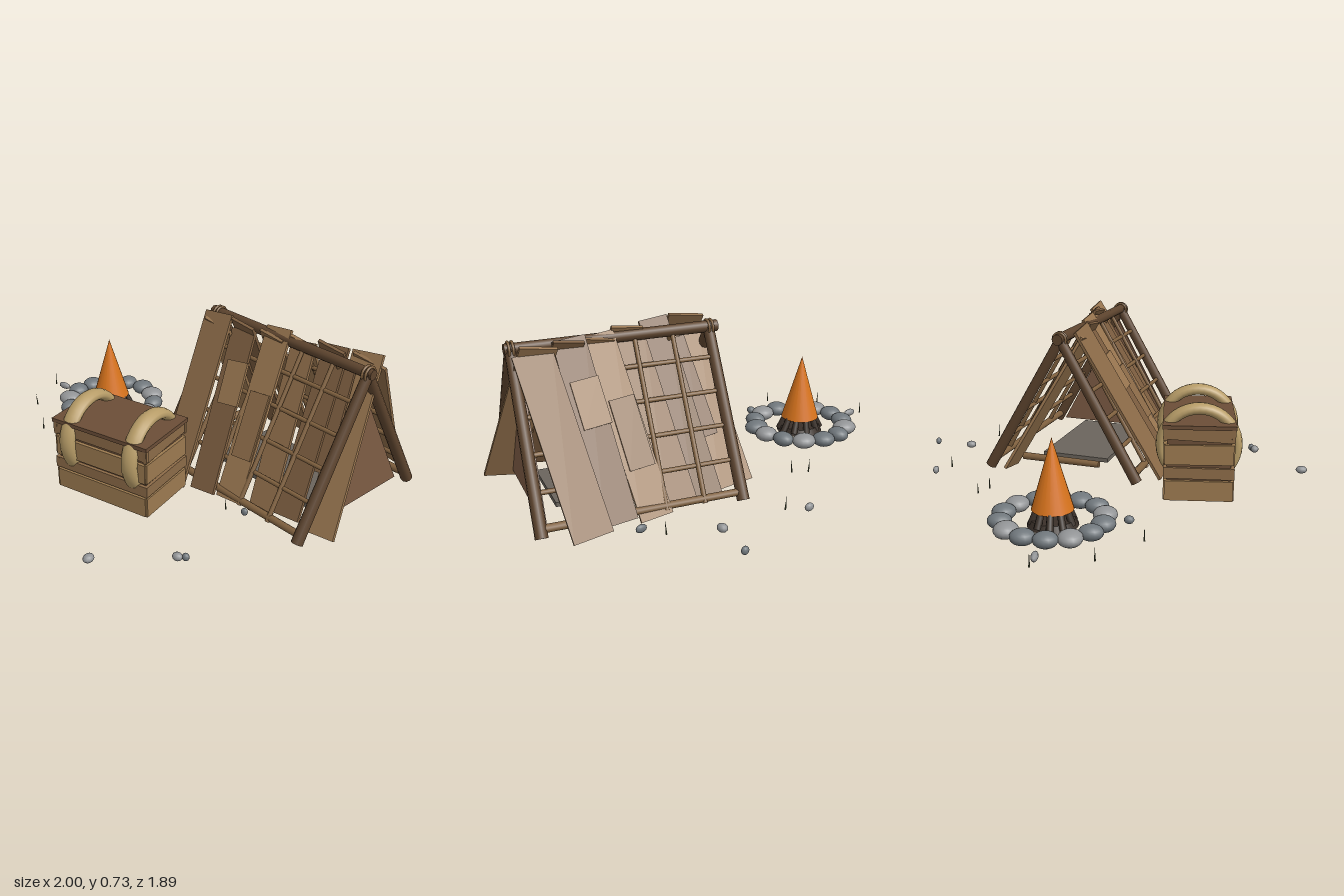
import * as THREE from 'three';

const mat = (color) => new THREE.MeshStandardMaterial({ color });
const M = {
  plankA: mat(0x8c6b48), plankB: mat(0x7c5d3f), plankC: mat(0x997650),
  pole: mat(0x5d442e), rod: mat(0x80613f), wall: mat(0x7d5c44), lid: mat(0x6b4e37),
  crate: mat(0x9c7a50), rope: mat(0xb89d68), flame: mat(0xd9741c), char: mat(0x3a3029),
  stoneA: mat(0x70777c), stoneB: mat(0x929496), bed: mat(0x6a645c), grass: mat(0x4c5238),
};
const planks = [M.plankA, M.plankB, M.plankC];
const TURN = -0.27; // heading of the shelter frame

function add(parent, name, geo, material, x = 0, y = 0, z = 0) {
  const m = new THREE.Mesh(geo, material);
  m.name = name;
  m.position.set(x, y, z);
  parent.add(m);
  return m;
}

const box = (w, h, d) => new THREE.BoxGeometry(w, h, d);

function group(parent, name, x = 0, y = 0, z = 0) {
  const g = new THREE.Group();
  g.name = name;
  g.position.set(x, y, z);
  parent.add(g);
  return g;
}

// Round pole between two points
function pole(parent, name, a, b, r, material) {
  const p = new THREE.Vector3(...a), q = new THREE.Vector3(...b);
  const d = q.clone().sub(p);
  const m = add(parent, name, new THREE.CylinderGeometry(r * 0.9, r, d.length(), 10), material);
  m.position.copy(p).add(q).multiplyScalar(0.5);
  m.quaternion.setFromUnitVectors(new THREE.Vector3(0, 1, 0), d.normalize());
  return m;
}

// Sloping frame from the ridge: local -y runs down the slope, +z points outward
function slope(parent, name, turn) {
  const side = group(parent, name);
  side.rotation.y = turn;
  const s = group(side, 'slope', 0, 0.67, 0);
  s.rotation.x = -Math.PI / 6;
  return s;
}

function roofFrame(parent, turn) {
  const s = slope(parent, 'roofFrame', turn);
  for (const x of [-0.433, 0.433]) pole(s, 'legPole', [x, -0.757, 0], [x, 0.02, 0], 0.027, M.pole);
  for (const y of [-0.13, -0.28, -0.43, -0.58, -0.72])
    pole(s, 'crossRod', [-0.44, y, 0], [0.44, y, 0], y < -0.7 ? 0.018 : 0.011, M.rod);
  for (const x of [-0.26, -0.09, 0.09, 0.26])
    pole(s, 'rafterRod', [x, -0.74, 0.005], [x, 0, 0.005], 0.011, M.rod);
}

// Cladding hangs square to the model, each plank twisted about its own length
function roofPlanks(parent, turn, seed) {
  const s = slope(parent, 'roofPlanks', turn);
  const wob = (i, k) => Math.sin(i * 2.7 + k * 1.9 + seed);
  [[-0.37, 0.165], [-0.215, 0.14], [-0.065, 0.14], [0.08, 0.13], [0.215, 0.13], [0.365, 0.155]]
    .forEach(([x, w], i) => {
      const top = 0.03 + 0.025 * wob(i, 1), bottom = -0.745 + 0.015 * wob(i, 2);
      const m = add(s, 'roofPlank', box(w, top - bottom, 0.014), planks[i % 3], x, (top + bottom) / 2, 0);
      m.rotation.set(0, TURN, 0.025 * wob(i, 3));
    });
  // Shorter boards nailed over the long ones
  [[-0.2, -0.24, 0.12, 0.2], [-0.06, -0.4, 0.11, 0.3], [0.3, -0.28, 0.08, 0.45]].forEach(([x, y, w, h], i) => {
    add(s, 'patchBoard', box(w, h, 0.012), planks[(i + 2) % 3], x, y, 0.012).rotation.set(0, TURN, 0.03 * wob(i, 4));
  });
}

function buildShelter(root) {
  const g = group(root, 'shelter', 0.455, 0, -0.12);
  roofPlanks(g, 0, 0);
  roofPlanks(g, Math.PI, 2);

  const f = group(g, 'shelterFrame');
  f.rotation.y = TURN;
  roofFrame(f, 0);
  roofFrame(f, Math.PI);
  pole(f, 'ridgePole', [-0.47, 0.675, 0], [0.46, 0.675, 0], 0.026, M.pole);

  // Rope lashings where the legs cross the ridge
  for (const end of [-1, 1]) for (const k of [0, 1]) {
    const t = add(f, 'lashing', new THREE.TorusGeometry(0.032, 0.006, 8, 20), M.rod, end * (0.425 + k * 0.017), 0.672, 0);
    t.rotation.y = Math.PI / 2;
  }

  // Closed gable at one end
  const tri = new THREE.Shape([[-0.32, 0.03], [0.32, 0.03], [0, 0.62]].map((p) => new THREE.Vector2(...p)));
  const wall = add(f, 'gableWall', new THREE.ExtrudeGeometry(tri, { depth: 0.012, bevelEnabled: false }), M.wall, 0.395, 0, 0);
  wall.rotation.y = Math.PI / 2;

  // Sleeping pallet and the log at its open end
  add(f, 'pallet', box(0.58, 0.02, 0.34), M.bed, 0.03, 0.04, 0);
  pole(f, 'entryLog', [-0.43, 0.08, -0.2], [-0.43, 0.08, 0.19], 0.018, M.rod);
}

function buildChest(root) {
  const g = group(root, 'chest', -0.08, 0, 0.41);
  add(g, 'chestCore', box(0.46, 0.32, 0.28), M.lid, 0, 0.2, 0);
  // Slats on all four sides: height of centre, slat height, overhang, tilt
  [[0.08, 0.09, 0, 0], [0.16, 0.05, 0.01, 0.01], [0.245, 0.09, 0, -0.01], [0.338, 0.06, 0.012, 0.05]]
    .forEach(([y, h, o, tilt], i) => {
      for (const s of [-1, 1]) {
        add(g, 'longSlat', box(0.47 + o * 2, h, 0.016), i % 2 ? M.plankA : M.crate, 0, y, s * 0.147);
        add(g, 'endSlat', box(0.016, h, 0.3 + o), i % 2 ? M.plankA : M.crate, s * 0.236, y, 0).rotation.x = tilt;
      }
    });
  add(g, 'lid', box(0.5, 0.018, 0.32), M.lid, 0, 0.37, 0);
  add(g, 'chestBottom', box(0.48, 0.015, 0.3), M.lid, 0, 0.04, 0);
  // Thick rope bands
  for (const x of [-0.165, 0.165]) {
    const r = add(g, 'ropeBand', new THREE.TorusGeometry(0.165, 0.026, 12, 40), M.rope, x, 0.27, 0);
    r.rotation.y = Math.PI / 2;
    r.scale.z = 1.5;
  }
}

function buildFire(root) {
  const g = group(root, 'campfire', -0.59, 0, -0.195);
  add(g, 'emberBed', new THREE.CylinderGeometry(0.095, 0.11, 0.03, 20), M.char, 0, 0.035, 0);
  add(g, 'flame', new THREE.ConeGeometry(0.09, 0.31, 24), M.flame, 0, 0.245, 0);
  for (let i = 0; i < 10; i++) {
    const a = (i / 10) * Math.PI * 2, c = Math.cos(a), s = Math.sin(a);
    pole(g, 'charredLog', [c * 0.108, 0.03, s * 0.09], [c * 0.07, 0.1, s * 0.065], 0.016, M.char);
  }
  const stone = new THREE.SphereGeometry(1, 16, 12);
  for (let i = 0; i < 14; i++) {
    const a = (i / 14) * Math.PI * 2;
    const m = add(g, 'ringStone', stone, i % 3 ? M.stoneA : M.stoneB, Math.cos(a) * 0.223, 0.05, Math.sin(a) * 0.22);
    m.scale.set(0.053 + 0.008 * Math.sin(i * 2.3), 0.034, 0.053);
  }
}

function buildGround(root) {
  const g = group(root, 'scatter');
  const pebble = new THREE.SphereGeometry(1, 12, 8);
  [[-0.93, -0.22, 0.035, 0.015], [-0.55, 0.12, 0.02, 0.022], [-0.01, -0.84, 0.023, 0.014],
    [0.43, -0.94, 0.018, 0.013], [0.385, -0.755, 0.021, 0.025], [0.64, -0.565, 0.026, 0.012],
    [0.415, 0.715, 0.023, 0.02], [0.445, 0.7, 0.016, 0.015], [0.12, 0.915, 0.022, 0.027], [0.49, 0.3, 0.016, 0.012],
  ].forEach(([x, z, rx, rz], i) => {
    add(g, 'pebble', pebble, i % 2 ? M.stoneA : M.stoneB, x, 0.033, z).scale.set(rx, 0.018, rz);
  });
  [[-0.995, -0.23], [-0.93, 0.01], [-0.73, 0.19], [-0.27, -0.58], [-0.2, -0.54], [0.065, -0.78], [0.58, -0.645], [0.4, 0.31]]
    .forEach(([x, z], i) => {
      add(g, 'grassBlade', new THREE.ConeGeometry(0.004, 0.065, 5), M.grass, x, 0.053, z).rotation.z = i % 2 ? 0.1 : -0.1;
    });
}

export function createModel() {
  const root = new THREE.Group();
  root.name = 'campsite';
  buildShelter(root);
  buildChest(root);
  buildFire(root);
  buildGround(root);
  return root;
}
